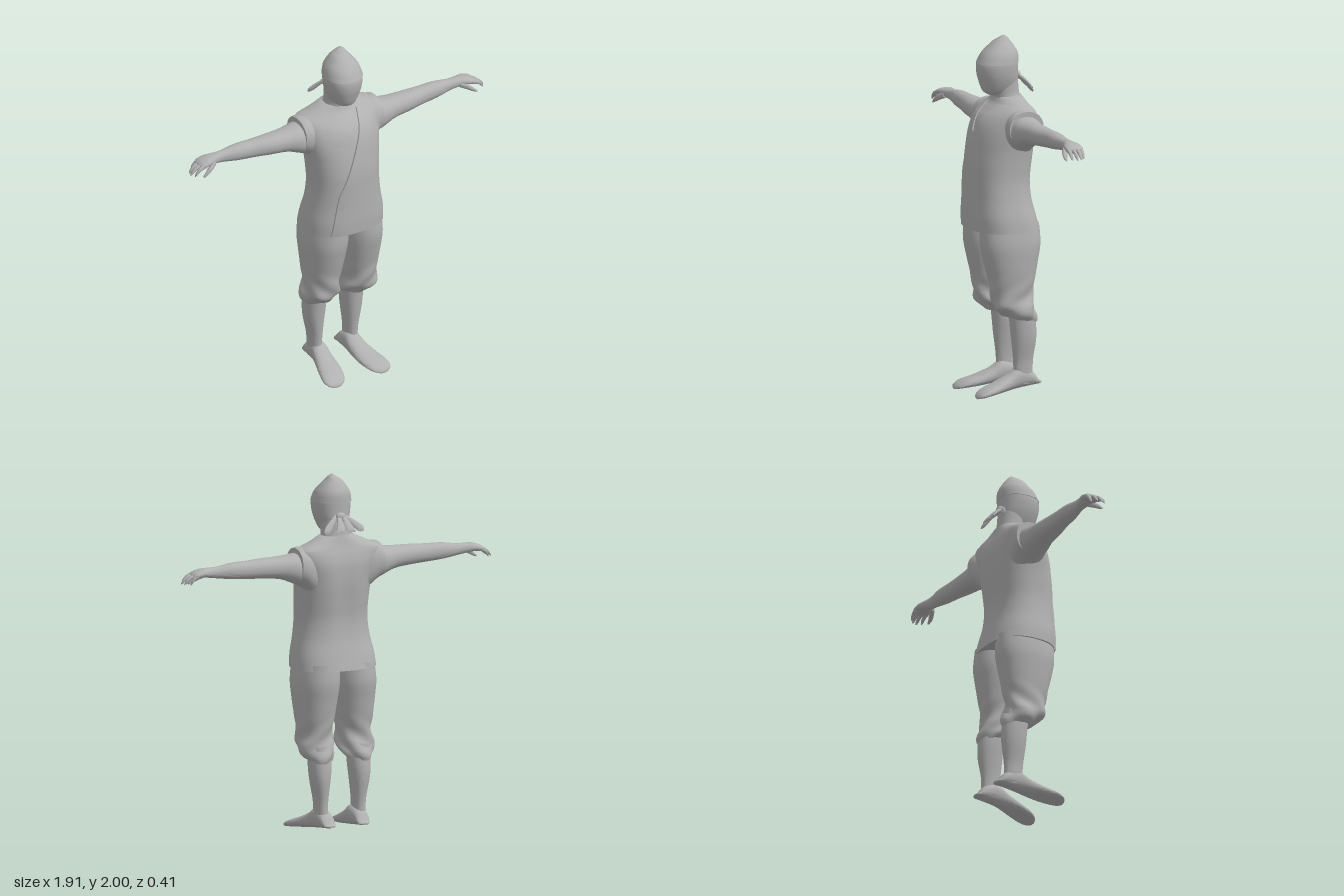
import * as THREE from 'three';
import { toCreasedNormals } from 'three/addons/utils/BufferGeometryUtils.js';

// Smooth interpolation through a list of cross-sections, u in 0..1
function sectionAt(sections, u) {
  const last = sections.length - 1;
  const f = Math.min(u * last, last - 1e-6), i = Math.floor(f), t = f - i;
  const at = k => sections[Math.max(0, Math.min(last, k))];
  const [a, b, c, d] = [at(i - 1), at(i), at(i + 1), at(i + 2)];
  return [0, 1, 2, 3, 4, 5].map(k => {
    const [p, q, r, s] = [a, b, c, d].map(v => v[k] ?? 2.2);
    return 0.5 * (2 * q + (r - p) * t + (2 * p - 5 * q + 4 * r - s) * t * t + (3 * q - p - 3 * r + s) * t * t * t);
  });
}

// Capped loft. A section is [position, min1, max1, min2, max2, roundness]:
// axis y uses x and z, axis x uses y and z, axis z uses x and y.
function loft(axis, sections, { side = 1, rows = 30, sides = 32, warp } = {}) {
  const pos = [], idx = [];
  const put = (t, a, b, theta) => {
    const p = axis === 'y' ? new THREE.Vector3(a, t, b)
      : axis === 'x' ? new THREE.Vector3(t, a, b) : new THREE.Vector3(a, b, t);
    if (warp) warp(p, theta);
    pos.push(p.x * side, p.y, p.z);
  };
  const tri = (a, b, c) => (side > 0 ? idx.push(a, b, c) : idx.push(a, c, b));
  const dir = axis === 'y' ? 1 : -1;
  const pw = (v, n) => Math.sign(v) * Math.pow(Math.abs(v), 2 / n);
  for (let i = 0; i <= rows; i++) {
    const [t, a0, a1, b0, b1, n] = sectionAt(sections, i / rows);
    for (let j = 0; j < sides; j++) {
      const th = j / sides * Math.PI * 2;
      put(t, (a0 + a1) / 2 + (a1 - a0) / 2 * pw(Math.cos(th), n),
        (b0 + b1) / 2 + dir * (b1 - b0) / 2 * pw(Math.sin(th), n), th);
    }
  }
  for (let i = 0; i < rows; i++) for (let j = 0; j < sides; j++) {
    const k = (j + 1) % sides, a = i * sides + j, b = i * sides + k;
    tri(a, a + sides, b);
    tri(b, a + sides, b + sides);
  }
  // End caps
  [0, 1].forEach(end => {
    const [t, a0, a1, b0, b1] = sectionAt(sections, end);
    const c = pos.length / 3, base = end * rows * sides;
    put(t, (a0 + a1) / 2, (b0 + b1) / 2, 0);
    for (let j = 0; j < sides; j++) {
      const p = base + j, q = base + (j + 1) % sides;
      end ? tri(c, q, p) : tri(c, p, q);
    }
  });
  return finish(pos, idx);
}

function finish(pos, idx) {
  const g = new THREE.BufferGeometry();
  g.setAttribute('position', new THREE.Float32BufferAttribute(pos, 3));
  g.setIndex(idx);
  return toCreasedNormals(g, 0.9);
}

// Sections that are symmetric about x = 0: [y, half width, back z, front z, roundness]
const sym = list => list.map(([y, r, z0, z1, n]) => [y, -r, r, z0, z1, n]);

const TORSO = sym([
  [0.925, 0.238, -0.198, 0.183, 2.5], [1.0, 0.232, -0.18, 0.186, 2.5], [1.1, 0.213, -0.157, 0.186, 2.4],
  [1.2, 0.202, -0.15, 0.186, 2.4], [1.3, 0.205, -0.16, 0.183, 2.4], [1.4, 0.215, -0.17, 0.168, 2.4],
  [1.5, 0.235, -0.168, 0.145, 2.4], [1.56, 0.246, -0.155, 0.115, 2.4], [1.6, 0.24, -0.14, 0.075, 2.4],
  [1.63, 0.175, -0.13, 0.045, 2.2], [1.665, 0.1, -0.12, 0.03, 2]]);

// Shoulders sit further back than the chest; the spine is slightly hollow
function torsoWarp(p) {
  p.z -= 0.035 * THREE.MathUtils.smoothstep(p.y, 1.4, 1.58) * Math.min(1, (p.x / 0.24) ** 2);
  if (p.z < -0.05) p.z += 0.012 * Math.exp(-((p.x / 0.05) ** 2)) * Math.exp(-(((p.y - 1.35) / 0.2) ** 2));
}

// Front surface of the torso: half width at y and z at (x, y)
function torsoFront(y) {
  let lo = 0, hi = 1;
  for (let i = 0; i < 24; i++) {
    const m = (lo + hi) / 2;
    sectionAt(TORSO, m)[0] < y ? (lo = m) : (hi = m);
  }
  const [, , r, z0, z1, n] = sectionAt(TORSO, lo);
  return {
    r,
    z: x => {
      const p = new THREE.Vector3(x, y, (z0 + z1) / 2 + (z1 - z0) / 2 * Math.pow(1 - Math.min(1, Math.abs(x / r)) ** n, 1 / n));
      torsoWarp(p);
      return p.z;
    }
  };
}

// Cloth panel lying on the torso; its free edge follows edge(y)
function panel(edge, y0, y1, dir, lift) {
  const rows = 40, cols = 14, pos = [], idx = [];
  for (let i = 0; i <= rows; i++) {
    const y = y0 + (y1 - y0) * i / rows, f = torsoFront(y), e = edge(y);
    for (let j = 0; j <= cols; j++) {
      const t = Math.max(0, j - 1) / (cols - 1);
      const x = e + (dir * f.r * 0.82 - e) * t;
      pos.push(x, y, f.z(x) + (j === 0 ? -0.004 : lift * (1 - t) - 0.003 * t));
    }
  }
  for (let i = 0; i < rows; i++) for (let j = 0; j < cols; j++) {
    const a = i * (cols + 1) + j, b = a + 1, c = a + cols + 1, d = c + 1;
    dir > 0 ? idx.push(a, b, c, b, d, c) : idx.push(a, c, b, b, c, d);
  }
  return finish(pos, idx);
}

export function createModel() {
  const model = new THREE.Group();
  const grey = new THREE.MeshStandardMaterial({ color: 0xb0b0b0, side: THREE.DoubleSide });
  grey.name = 'plain grey';
  const add = (name, geometry) => {
    const m = new THREE.Mesh(geometry, grey);
    m.name = name;
    model.add(m);
  };

  // Tunic with overlapping front
  add('tunic', loft('y', TORSO, { rows: 60, sides: 56, warp: torsoWarp }));
  const diagonal = y => y > 1.17 ? -0.12 + (y - 1.17) * 0.42 : -0.12 - (1.17 - y) * 0.18;
  add('overlappingFront', panel(diagonal, 0.93, 1.63, 1, 0.01));
  add('neckEdge', panel(y => -0.01 - (y - 1.47) * 0.32, 1.47, 1.63, -1, 0.007));

  // Head and neck
  add('neck', loft('y', sym([[1.58, 0.1, -0.11, 0.03], [1.64, 0.09, -0.115, 0.03], [1.68, 0.078, -0.108, 0.04], [1.76, 0.08, -0.1, 0.06]])));
  add('head', loft('y', sym([
    [1.672, 0.04, -0.08, 0.07], [1.695, 0.066, -0.095, 0.1], [1.75, 0.09, -0.1, 0.12],
    [1.8, 0.102, -0.1, 0.131], [1.85, 0.105, -0.1, 0.128], [1.9, 0.096, -0.098, 0.1]]), { sides: 40 }));
  add('headWrap', loft('y', [
    ...sym([[1.85, 0.109, -0.103, 0.131], [1.9, 0.096, -0.1, 0.104], [1.94, 0.07, -0.08, 0.066], [1.967, 0.047, -0.06, 0.037]]),
    [1.987, -0.016, 0.032, -0.043, 0.01], [2.0, 0.004, 0.018, -0.027, -0.012]], { sides: 40 }));

  // Knot and tails at the back of the head wrap
  add('knot', new THREE.SphereGeometry(0.024, 16, 12).scale(1.2, 0.9, 0.8).translate(0, 1.775, -0.103));

  for (const side of [1, -1]) {
    const which = side > 0 ? 'left' : 'right';
    const part = (name, axis, sections, options = {}) => add(which + name, loft(axis, sections, { side, ...options }));
    const small = { rows: 12, sides: 12 };

    part('OuterTail', 'z', [[-0.15, 0.085, 0.122, 1.69, 1.708], [-0.14, 0.07, 0.118, 1.70, 1.73],
      [-0.115, 0.035, 0.07, 1.74, 1.765], [-0.09, 0, 0.03, 1.76, 1.79]], small);
    part('InnerTail', 'z', [[-0.175, 0.008, 0.06, 1.695, 1.708], [-0.162, 0, 0.052, 1.705, 1.73],
      [-0.13, 0, 0.035, 1.737, 1.765], [-0.09, 0, 0.022, 1.76, 1.79]], small);

    // Armhole and arm
    part('Armhole', 'x', [[0.13, 1.31, 1.6, -0.13, 0.06], [0.19, 1.365, 1.612, -0.148, 0.062],
      [0.23, 1.40, 1.615, -0.154, 0.057], [0.254, 1.415, 1.61, -0.152, 0.052]]);
    part('Arm', 'x', [[0.2, 1.385, 1.59, -0.135, 0.04], [0.27, 1.415, 1.58, -0.135, 0.045],
      [0.35, 1.445, 1.572, -0.115, 0.03], [0.45, 1.457, 1.57, -0.105, 0.02], [0.55, 1.465, 1.566, -0.1, 0],
      [0.65, 1.473, 1.564, -0.1, -0.01], [0.74, 1.486, 1.552, -0.09, -0.028], [0.8, 1.495, 1.55, -0.095, -0.022],
      [0.84, 1.5, 1.547, -0.105, -0.008], [0.88, 1.497, 1.535, -0.106, -0.004], [0.9, 1.5, 1.522, -0.095, -0.015]],
    { rows: 50 });

    // Curled fingers and thumb
    [[-0.092, 0.052], [-0.068, 0.078], [-0.042, 0.085], [-0.017, 0.07]].forEach(([z, len], i) => {
      const x = 0.87;
      part('Finger' + (i + 1), 'x', [[x, 1.503, 1.527, z - 0.012, z + 0.012], [x + len * 0.5, 1.493, 1.517, z - 0.011, z + 0.011],
        [x + len * 0.85, 1.474, 1.495, z - 0.009, z + 0.009], [x + len, 1.466, 1.474, z - 0.004, z + 0.004]], small);
    });
    part('Thumb', 'x', [[0.80, 1.495, 1.53, -0.05, -0.02], [0.84, 1.478, 1.512, -0.03, 0.002],
      [0.87, 1.463, 1.488, -0.016, 0.008], [0.893, 1.455, 1.465, -0.008, 0.004]], small);

    // Baggy trouser leg gathered below the knee
    part('TrouserLeg', 'y', [[0.425, 0.052, 0.19, -0.158, 0.03], [0.455, 0.03, 0.213, -0.16, 0.055],
      [0.5, 0.023, 0.222, -0.142, 0.088], [0.56, 0.03, 0.212, -0.135, 0.1], [0.65, 0.018, 0.22, -0.15, 0.115],
      [0.75, 0.002, 0.23, -0.168, 0.14], [0.85, -0.01, 0.235, -0.185, 0.16], [0.96, -0.01, 0.222, -0.18, 0.16]],
    {
      rows: 50, sides: 48,
      warp: (p, th) => {
        const w = 0.007 * (1 - THREE.MathUtils.smoothstep(p.y, 0.48, 0.7)) * Math.sin(4 * th + p.y * 45);
        p.x += Math.cos(th) * w;
        p.z += Math.sin(th) * w;
        p.y += 0.02 * Math.sin(th) * (1 - THREE.MathUtils.smoothstep(p.y, 0.42, 0.52));
      }
    });

    // Calf and foot
    part('Calf', 'y', [[0.06, 0.075, 0.148, -0.15, -0.03], [0.13, 0.082, 0.15, -0.145, -0.033],
      [0.2, 0.08, 0.155, -0.147, -0.03], [0.3, 0.069, 0.174, -0.16, -0.02], [0.38, 0.06, 0.182, -0.16, -0.013],
      [0.5, 0.055, 0.185, -0.145, 0]]);
    part('Foot', 'z', [[-0.2, 0.085, 0.118, 0.054, 0.064], [-0.18, 0.07, 0.14, 0.049, 0.075],
      [-0.14, 0.065, 0.15, 0.044, 0.125], [-0.06, 0.06, 0.156, 0.034, 0.152], [0, 0.058, 0.17, 0.026, 0.115],
      [0.08, 0.06, 0.195, 0.016, 0.078], [0.15, 0.075, 0.212, 0.008, 0.053], [0.19, 0.1, 0.202, 0.003, 0.03],
      [0.205, 0.13, 0.175, 0, 0.014]], { rows: 36 });
  }
  return model;
}
